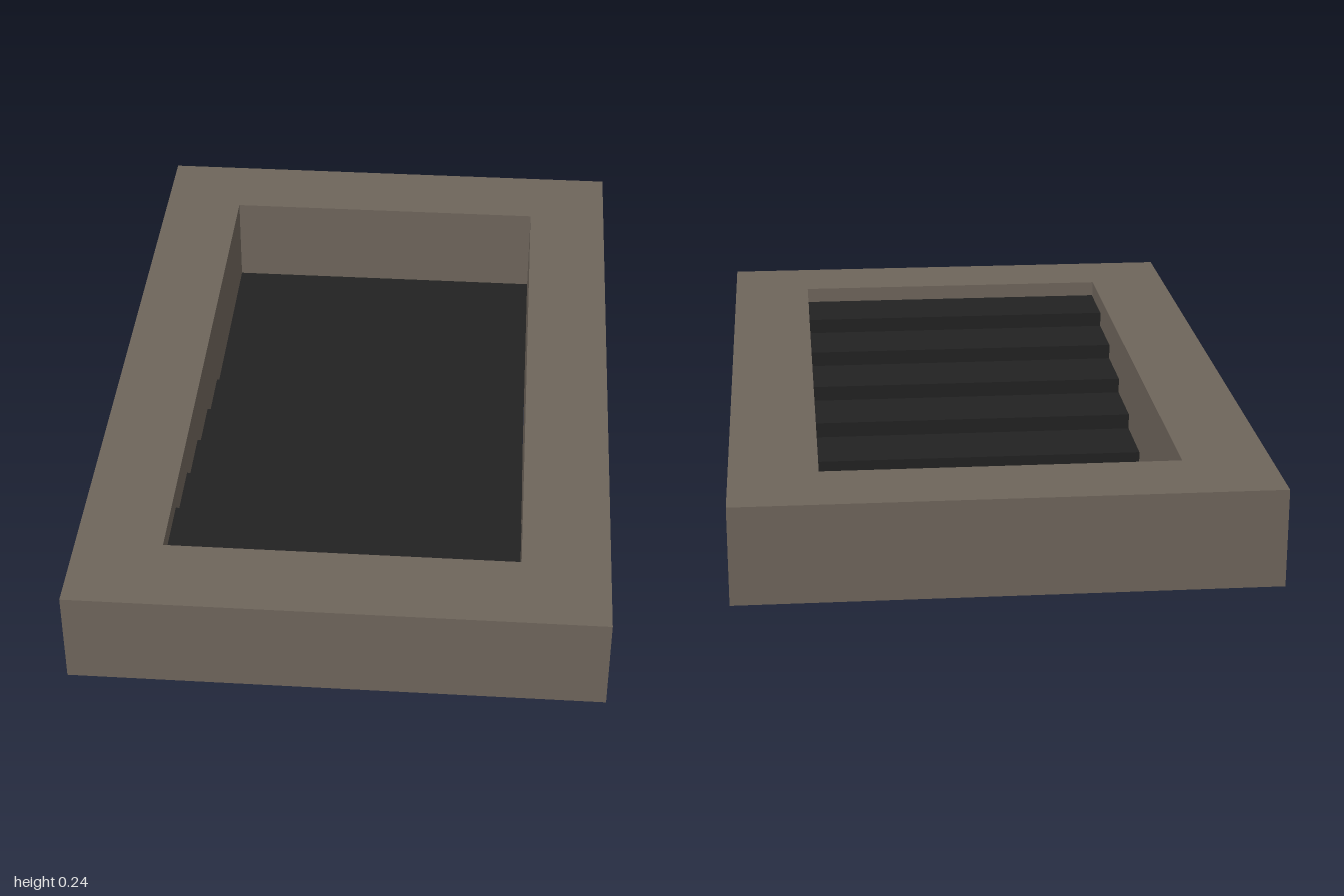
import * as THREE from 'three';

const W = 1.3, H = 0.243, L = 2, RIM = 0.215; // overall size and rim width
const IN_X = W / 2 - RIM, IN_Z = L / 2 - RIM; // half size of the opening
const STEPS = 5, TREAD = 0.192, RISE = H / (STEPS + 1);
const GAP = 0.002; // keeps the stairs off the rim walls

// Box without its underside, spanning x0..x1, 0..h, z0..z1
function openBox(name, material, x0, x1, h, z0, z1) {
  const geometry = new THREE.BoxGeometry(x1 - x0, h, z1 - z0);
  const index = Array.from(geometry.index.array);
  index.splice(18, 6);
  geometry.setIndex(index);
  geometry.clearGroups();
  geometry.translate((x0 + x1) / 2, h / 2, (z0 + z1) / 2);
  const mesh = new THREE.Mesh(geometry, material);
  mesh.name = name;
  return mesh;
}

export function createModel() {
  const stone = new THREE.MeshStandardMaterial({ name: 'brownStone', color: 0x6e655b, side: THREE.DoubleSide });
  const dark = new THREE.MeshStandardMaterial({ name: 'darkStone', color: 0x222222, side: THREE.DoubleSide });

  const model = new THREE.Group();
  model.name = 'sunkenStairwell';

  // Raised rim: two full-width ends and two sides between them
  const rim = new THREE.Group();
  rim.name = 'rim';
  rim.add(
    openBox('frontRim', stone, -W / 2, W / 2, H, IN_Z, L / 2),
    openBox('backRim', stone, -W / 2, W / 2, H, -L / 2, -IN_Z),
    openBox('leftRim', stone, IN_X, W / 2, H, -IN_Z, IN_Z),
    openBox('rightRim', stone, -W / 2, -IN_X, H, -IN_Z, IN_Z),
  );
  model.add(rim);

  // Stairs descending from the front towards the back
  const stairs = new THREE.Group();
  stairs.name = 'stairs';
  const x = IN_X - GAP;
  for (let i = 0; i < STEPS; i++) {
    const front = IN_Z - i * TREAD - (i === 0 ? GAP : 0);
    const back = IN_Z - (i + 1) * TREAD;
    stairs.add(openBox(`step${STEPS - i}`, dark, -x, x, RISE * (STEPS - i), back, front));
  }
  model.add(stairs);

  // Flat floor at the foot of the stairs
  const floorFront = IN_Z - STEPS * TREAD;
  const floor = new THREE.Mesh(new THREE.PlaneGeometry(2 * IN_X, floorFront + IN_Z).rotateX(-Math.PI / 2), dark);
  floor.name = 'floor';
  floor.position.set(0, 0.001, (floorFront - IN_Z) / 2);
  model.add(floor);

  return model;
}
